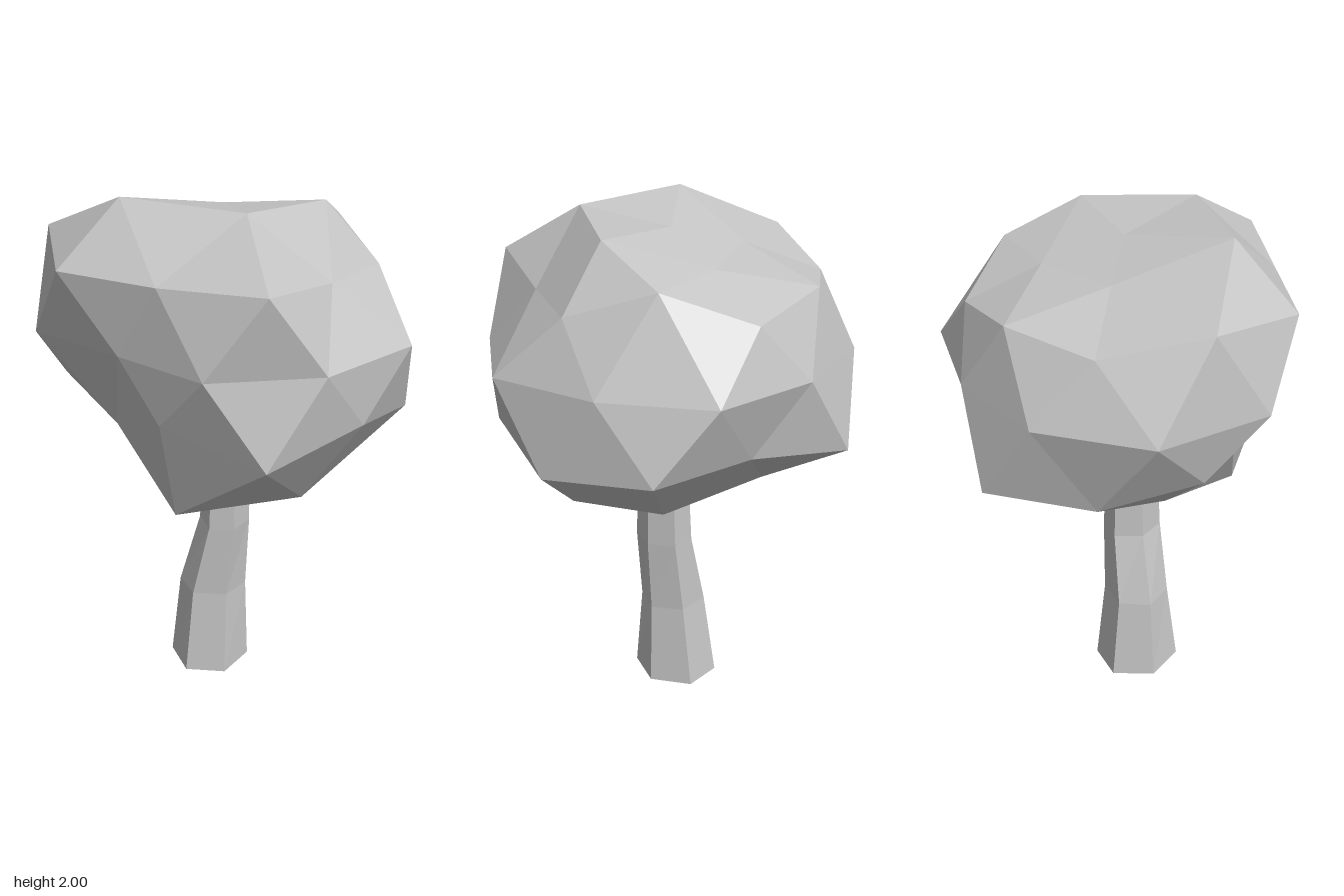
import * as THREE from 'three';

const STEP = Math.PI / 5; // 36 degrees

// Point on a ring: angle in 36 degree steps from +x toward +z
const at = (step, [r, y]) => [r * Math.cos(step * STEP), y, r * Math.sin(step * STEP)];

// Each ring holds [radius, height] pairs, one every 72 degrees
const upper = {
  pole: [0, 1.93, 0],
  cap: [[0.37, 1.95], [0.37, 1.98], [0.42, 2.0], [0.28, 1.86], [0.3, 1.84]],
  corner: [[0.57, 1.72], [0.7, 1.785], [0.67, 1.77], [0.586, 1.735], [0.58, 1.71]],
  mid: [[0.505, 1.73], [0.56, 1.765], [0.66, 1.83], [0.57, 1.77], [0.51, 1.83]],
};
const lower = {
  pole: [0, 0.95, 0],
  cap: [[0.395, 0.86], [0.44, 0.855], [0.34, 0.99], [0.375, 0.99], [0.35, 0.93]],
  corner: [[0.666, 1.24], [0.555, 1.26], [0.62, 1.24], [0.71, 1.16], [0.73, 1.21]],
  mid: [[0.7, 1.16], [0.46, 1.15], [0.58, 1.13], [0.55, 1.21], [0.7, 1.16]],
};
// Radii of the ten points round the waist, starting at -18 degrees
const waist = [0.67, 0.735, 0.7, 0.67, 0.555, 0.71, 0.74, 0.69, 0.65, 0.715];

// Half of a once-divided icosahedron; offset turns the half by 36 degree steps
function addHalf(out, half, offset, flip) {
  const tri = (a, b, c) => out.push(...a, ...(flip ? c : b), ...(flip ? b : c));
  const cap = (k) => at(2 * k + offset, half.cap[k % 5]);
  const corner = (k) => at(2 * k + offset, half.corner[k % 5]);
  const mid = (k) => at(2 * k + 1 + offset, half.mid[k % 5]);
  const belt = (i) => at(i + offset - 0.5, [waist[(i + offset) % 10], 1.485]);
  for (let k = 0; k < 5; k++) {
    const m = mid(k);
    tri(half.pole, cap(k), cap(k + 1));
    tri(cap(k), corner(k), m);
    tri(cap(k), m, cap(k + 1));
    tri(cap(k + 1), m, corner(k + 1));
    tri(corner(k), belt(2 * k), belt(2 * k + 1));
    tri(corner(k), belt(2 * k + 1), m);
    tri(m, belt(2 * k + 1), belt(2 * k + 2));
    tri(m, belt(2 * k + 2), corner(k + 1));
  }
}

function crownGeometry() {
  const points = [];
  addHalf(points, upper, 0, true);
  addHalf(points, lower, 1, false);
  const geo = new THREE.BufferGeometry();
  geo.setAttribute('position', new THREE.Float32BufferAttribute(points, 3));
  geo.computeVertexNormals();
  return geo;
}

// Six-sided trunk, bent by placing each cross-section
function trunkGeometry() {
  // top to bottom: height, centre x, centre z, radius x, radius z
  const sections = [
    [1.0, 0.01, 0.035, 0.09, 0.105],
    [0.65, 0.005, 0.035, 0.1, 0.12],
    [0.35, -0.045, 0.03, 0.135, 0.13],
    [0, -0.06, 0.028, 0.16, 0.176],
  ];
  const geo = new THREE.CylinderGeometry(1, 1, 1, 6, 3, false, Math.PI / 2).toNonIndexed();
  const p = geo.attributes.position;
  for (let i = 0; i < p.count; i++) {
    const [y, cx, cz, rx, rz] = sections[Math.round((0.5 - p.getY(i)) * 3)];
    p.setXYZ(i, cx + rx * p.getX(i), y, cz + rz * p.getZ(i));
  }
  geo.computeVertexNormals();
  return geo;
}

export function createModel() {
  const grey = new THREE.MeshStandardMaterial({ color: 0xc4c4c4, flatShading: true });
  grey.name = 'light grey';

  const tree = new THREE.Group();
  tree.name = 'tree';

  const crown = new THREE.Mesh(crownGeometry(), grey);
  crown.name = 'crown';
  const trunk = new THREE.Mesh(trunkGeometry(), grey);
  trunk.name = 'trunk';
  tree.add(crown, trunk);
  return tree;
}
